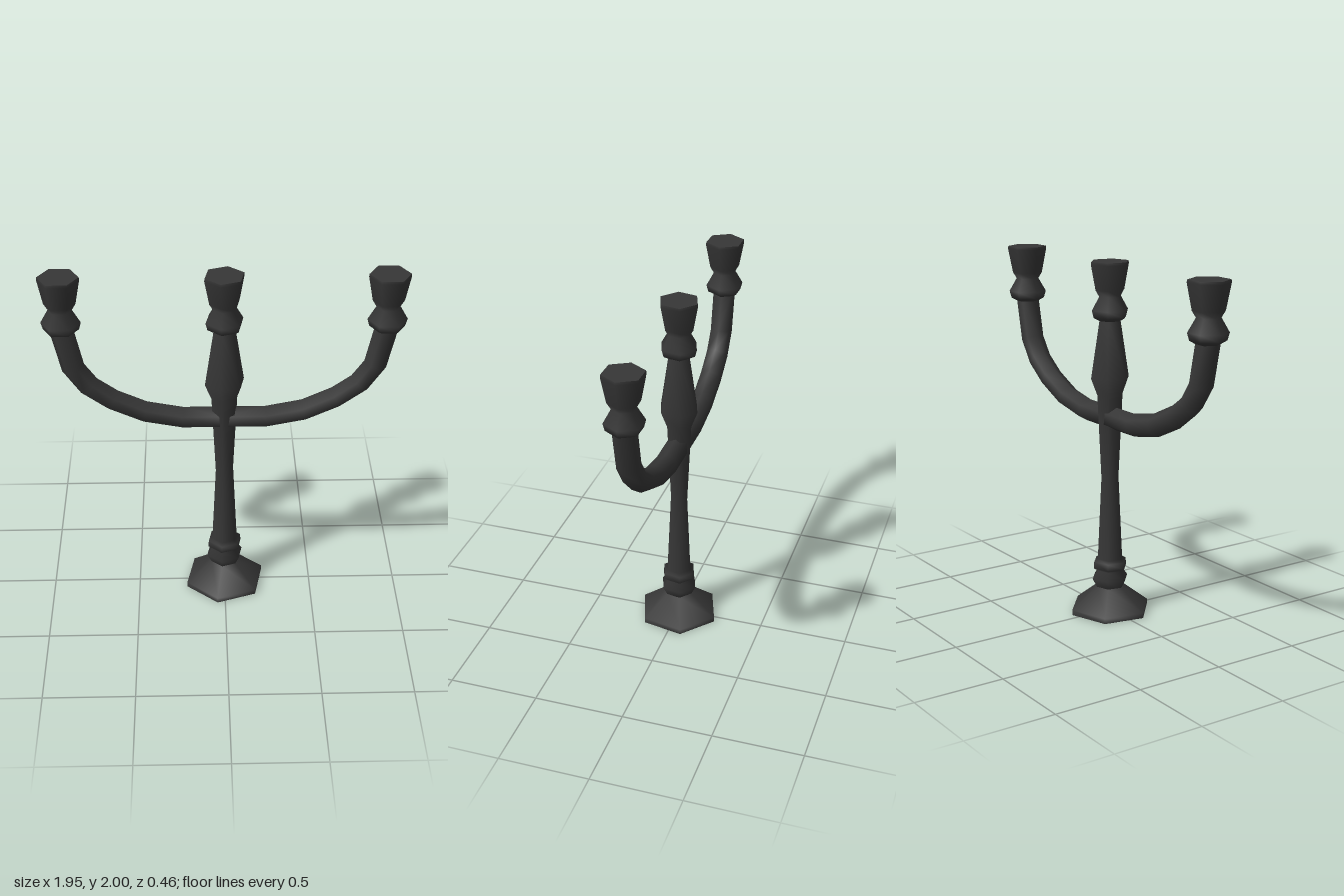
import * as THREE from 'three';

const SIDES = 6;
const ARM_RADIUS = 0.064;

// Turned hexagonal part; repeated profile points keep an edge sharp
function turned(name, profile, turnDegrees, material) {
  const points = profile.map(([r, y]) => new THREE.Vector2(r, y));
  const geometry = new THREE.LatheGeometry(points, SIDES, THREE.MathUtils.degToRad(turnDegrees));
  const mesh = new THREE.Mesh(geometry, material);
  mesh.name = name;
  return mesh;
}

// Hexagonal tube swept through the arm's centreline, side = +1 or -1
function armGeometry(side) {
  const path = [[0, 1.135], [0.23, 1.135], [0.435, 1.175], [0.61, 1.255],
    [0.735, 1.345], [0.815, 1.46], [0.865, 1.69]];
  const positions = [];
  const index = [];
  path.forEach(([x, y], i) => {
    const a = path[Math.max(i - 1, 0)];
    const b = path[Math.min(i + 1, path.length - 1)];
    const length = Math.hypot(b[0] - a[0], b[1] - a[1]);
    const nx = -(b[1] - a[1]) / length;
    const ny = (b[0] - a[0]) / length;
    for (let k = 0; k < SIDES; k++) {
      const angle = (k / SIDES) * Math.PI * 2;
      const up = Math.cos(angle) * ARM_RADIUS;
      positions.push(side * (x + nx * up), y + ny * up, Math.sin(angle) * ARM_RADIUS);
      if (i === 0) continue;
      const next = (k + 1) % SIDES;
      const p = (i - 1) * SIDES + k, q = (i - 1) * SIDES + next;
      const r = i * SIDES + k, s = i * SIDES + next;
      if (side > 0) index.push(p, q, r, q, s, r);
      else index.push(p, r, q, q, r, s);
    }
  });
  const geometry = new THREE.BufferGeometry();
  geometry.setAttribute('position', new THREE.Float32BufferAttribute(positions, 3));
  geometry.setIndex(index);
  geometry.computeVertexNormals();
  return geometry;
}

export function createModel() {
  const group = new THREE.Group();
  const iron = new THREE.MeshStandardMaterial({ color: 0x373737 });
  iron.name = 'dark iron';

  // Candle cup with a collar beneath it
  const cup = [[0, 1.675], [0.06, 1.675], [0.096, 1.695], [0.107, 1.735], [0.064, 1.81],
    [0.085, 1.845], [0.112, 1.985], [0.11, 2], [0.11, 2], [0, 2]];

  // Flared foot
  group.add(turned('foot', [[0, 0], [0.233, 0], [0.233, 0], [0.233, 0.03],
    [0.08, 0.15], [0.07, 0.155]], -11, iron));

  // Stem with two rings, a slim waist and an upper bulge
  group.add(turned('stem', [[0.08, 0.145], [0.107, 0.2], [0.075, 0.245], [0.1, 0.262],
    [0.097, 0.3], [0.075, 0.315], [0.052, 0.79], [0.076, 1.265], [0.113, 1.36],
    [0.062, 1.68]], -11, iron));
  group.add(turned('centreCup', cup, -11, iron));

  // Curved arms, each carrying a cup
  for (const side of [1, -1]) {
    const label = side > 0 ? 'left' : 'right';
    const arm = new THREE.Mesh(armGeometry(side), iron);
    arm.name = label + 'Arm';
    const armCup = turned(label + 'Cup', cup, 29, iron);
    armCup.position.x = side * 0.865;
    group.add(arm, armCup);
  }
  return group;
}
